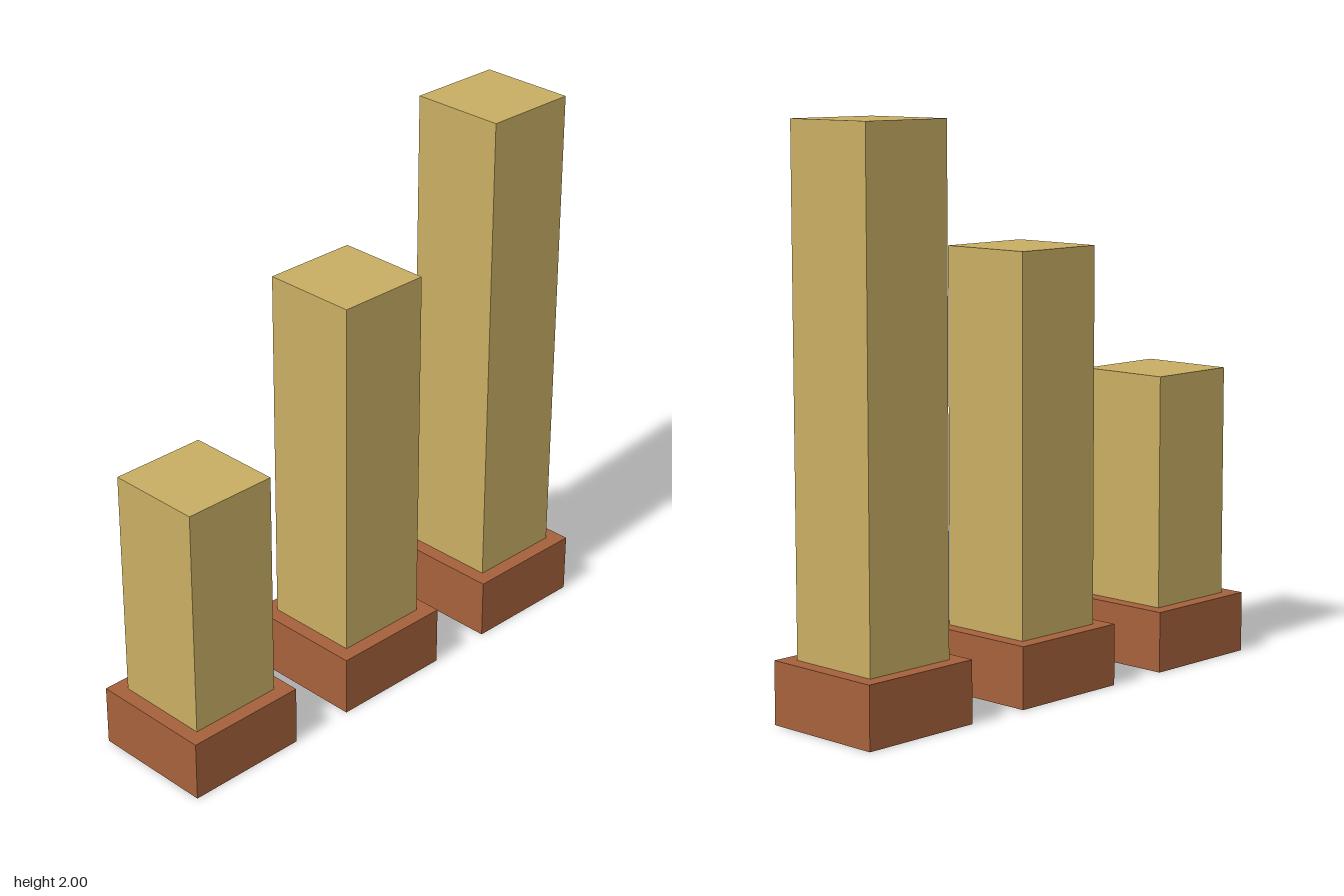
import * as THREE from 'three';

const BASE_SIZE = 0.462, BASE_HEIGHT = 0.22;
const COLUMN_SIZE = 0.355, SPACING = 0.705;

export function createModel() {
  const model = new THREE.Group();
  model.name = 'steppedColumns';

  const gold = new THREE.MeshStandardMaterial({ color: 0xc9ae63 });
  const brown = new THREE.MeshStandardMaterial({ color: 0xa5613b });
  // Box sides in order +x, -x, +y, -y, +z, -z: the underside is gold
  const baseMaterials = [brown, brown, brown, gold, brown, brown];

  const addBox = (parent, name, size, bottom, top, material) => {
    const mesh = new THREE.Mesh(new THREE.BoxGeometry(size, top - bottom, size), material);
    mesh.name = name;
    mesh.position.y = (bottom + top) / 2;
    parent.add(mesh);
  };

  // Three square columns on plinths, rising towards +x
  [['short', 1.06], ['middle', 1.55], ['tall', 2]].forEach(([label, top], i) => {
    const unit = new THREE.Group();
    unit.name = `${label}Unit`;
    unit.position.x = (i - 1) * SPACING;
    addBox(unit, `${label}Base`, BASE_SIZE, 0, BASE_HEIGHT, baseMaterials);
    addBox(unit, `${label}Column`, COLUMN_SIZE, BASE_HEIGHT, top, gold);
    model.add(unit);
  });

  return model;
}
